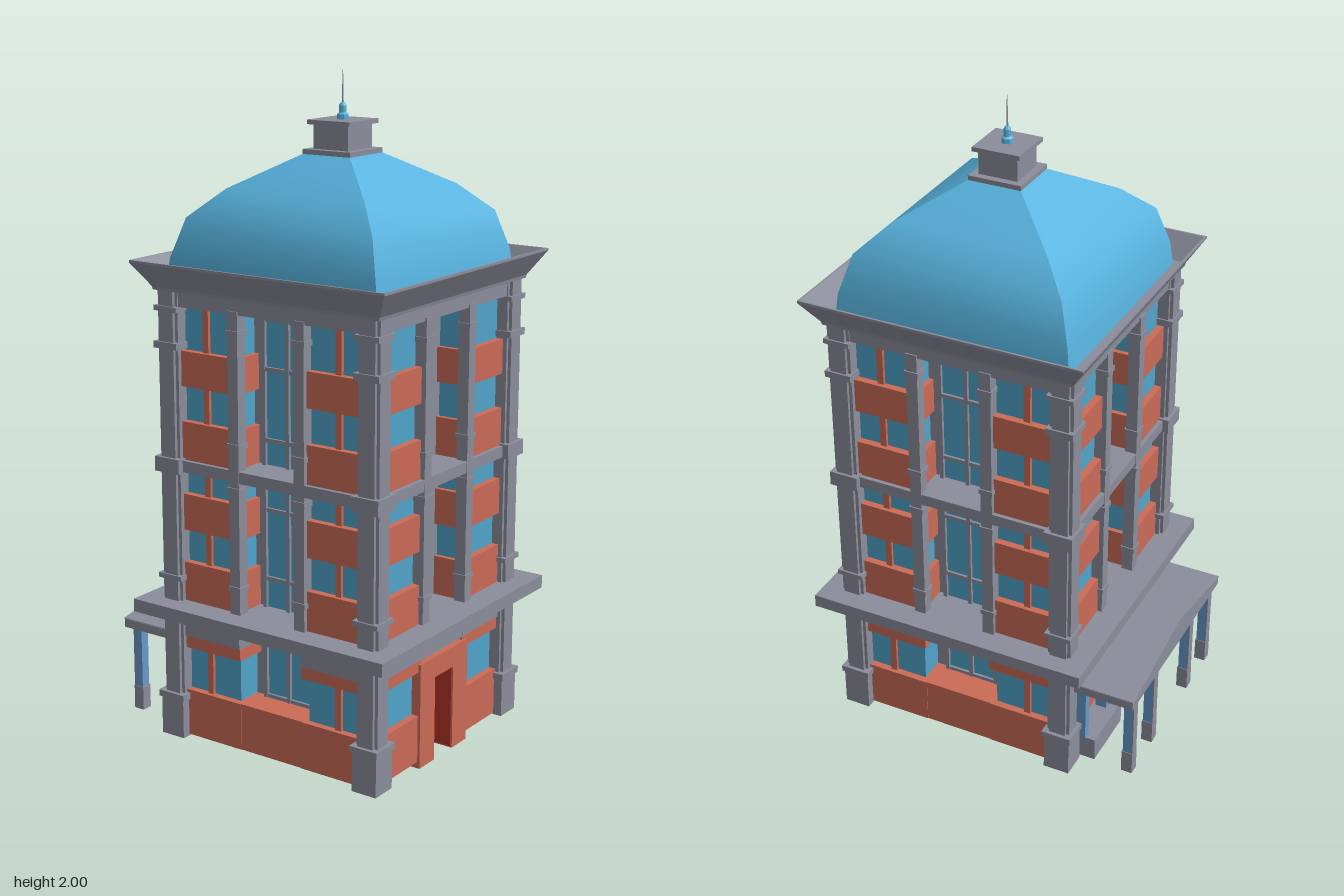
import * as THREE from 'three';
import { toCreasedNormals } from 'three/addons/utils/BufferGeometryUtils.js';

const mat = (name, color) => new THREE.MeshStandardMaterial({ name, color });

export function createModel() {
  const stone = mat('stone', 0x8b8d9b), brick = mat('brick', 0xcb6b57), glass = mat('glass', 0x51a5cb);
  const dome = mat('roof blue', 0x57b3de), red = mat('door red', 0xb03426), steel = mat('post blue', 0x6799cc);
  const root = new THREE.Group();
  const tower = new THREE.Group();
  tower.name = 'tower';
  tower.position.set(0.0625, 0, -0.003);
  root.add(tower);

  const add = (parent, name, geo, m) => {
    const mesh = new THREE.Mesh(geo, m);
    mesh.name = name;
    parent.add(mesh);
    return mesh;
  };
  // box given by its limits on each axis
  const box = (parent, name, m, x0, x1, y0, y1, z0, z1) => {
    const mesh = add(parent, name, new THREE.BoxGeometry(x1 - x0, y1 - y0, z1 - z0), m);
    mesh.position.set((x0 + x1) / 2, (y0 + y1) / 2, (z0 + z1) / 2);
    return mesh;
  };
  const slab = (name, m, h, y0, y1) => box(tower, name, m, -h, h, y0, y1, -h, h);
  // four-sided loft from a profile of [half width, height]
  const squareLoft = (name, m, pts, crease) => {
    const profile = pts.map(([r, y]) => new THREE.Vector2(r * Math.SQRT2, y));
    const geo = new THREE.LatheGeometry(profile, 4, Math.PI / 4);
    return add(tower, name, toCreasedNormals(geo, crease), m);
  };

  // core and floor slabs
  slab('core', stone, 0.26, 0.03, 1.4);
  slab('lowerLedge', stone, 0.445, 0.41, 0.45);
  slab('middleBand', stone, 0.375, 0.85, 0.885);
  slab('entablature', stone, 0.372, 1.34, 1.4);

  // corner bays: glass blocks wrapped with brick bands
  const bands = [[0.02, 0.165], [0.3, 0.338], [0.45, 0.57], [0.67, 0.78], [0.885, 1.0], [1.105, 1.21]];
  const notch = new THREE.Shape();
  const a = 0.036, b = 0.026;
  [[-b, -a], [b, -a], [b, -b], [a, -b], [a, b], [b, b], [b, a], [-b, a], [-b, b], [-a, b], [-a, -b], [-b, -b]]
    .forEach(([x, y], i) => (i ? notch.lineTo(x, y) : notch.moveTo(x, y)));
  const pillarGeo = new THREE.ExtrudeGeometry(notch, { depth: 1.37, bevelEnabled: false });
  pillarGeo.rotateX(-Math.PI / 2);

  for (const sx of [-1, 1]) for (const sz of [-1, 1]) {
    const corner = new THREE.Group();
    corner.name = 'cornerBay';
    tower.add(corner);
    const cbox = (name, m, x0, x1, y0, y1, z0, z1) => box(corner, name, m,
      Math.min(sx * x0, sx * x1), Math.max(sx * x0, sx * x1), y0, y1,
      Math.min(sz * z0, sz * z1), Math.max(sz * z0, sz * z1));
    cbox('bayGlass', glass, 0.125, 0.34, 0.03, 1.36, 0.125, 0.34);
    for (const [y0, y1] of bands) cbox('brickBand', brick, 0.11, 0.362, y0, y1, 0.11, 0.362);
    cbox('frieze', stone, 0.11, 0.366, 0.338, 0.42, 0.11, 0.366);
    cbox('windowMullion', brick, 0.222, 0.242, 0.16, 1.345, 0.33, 0.35);
    // panel under the bay
    cbox('underPanel', glass, 0.15, 0.29, 0.015, 0.022, 0.15, 0.29);

    // corner pillar with plinth and rings
    const p = add(corner, 'cornerPillar', pillarGeo, stone);
    p.position.set(sx * 0.349, 0.02, sz * 0.349);
    for (const [y0, y1, h] of [[0.015, 0.135, 0.041], [0.135, 0.155, 0.047], [0.515, 0.53, 0.042],
      [0.845, 0.89, 0.045], [1.215, 1.235, 0.042], [1.325, 1.34, 0.041]])
      cbox('pillarRing', stone, 0.349 - h, 0.349 + h, y0, y1, 0.349 - h, 0.349 + h);

    // slim piers beside the recesses
    for (const [px, pz] of [[0.115, 0.358], [0.358, 0.115]]) {
      cbox('pier', stone, px - 0.018, px + 0.018, 0.45, 1.35, pz - 0.018, pz + 0.018);
      for (const y of [0.52, 0.82, 0.95, 1.28])
        cbox('pierRing', stone, px - 0.022, px + 0.022, y, y + 0.015, pz - 0.022, pz + 0.022);
    }
  }

  // tall glazed recess, front and back
  for (const s of [1, -1]) {
    const bay = new THREE.Group();
    bay.name = 'glazedRecess';
    bay.rotation.y = s > 0 ? 0 : Math.PI;
    tower.add(bay);
    box(bay, 'tallGlass', glass, -0.085, 0.085, 0.17, 1.32, 0.256, 0.264);
    for (const x of [-0.084, 0, 0.084]) box(bay, 'verticalBar', stone, x - 0.006, x + 0.006, 0.165, 1.32, 0.258, 0.274);
    for (const y of [0.17, 0.33, 0.54, 0.75, 0.96, 1.17, 1.315])
      box(bay, 'crossBar', stone, -0.085, 0.085, y - 0.006, y + 0.006, 0.258, 0.272);
    box(bay, 'recessBase', brick, -0.13, 0.13, 0.02, 0.165, 0.25, 0.36);
    box(bay, 'underPanel', glass, -0.09, 0.09, 0.015, 0.022, 0.28, 0.34);
  }

  // stone recess with four windows, both sides
  for (const s of [1, -1]) {
    const bay = new THREE.Group();
    bay.name = 'sideRecess';
    bay.rotation.y = s * Math.PI / 2;
    tower.add(bay);
    for (const y of [0.485, 0.7, 0.92, 1.14]) {
      box(bay, 'sideWindow', glass, -0.082, 0.082, y, y + 0.152, 0.256, 0.264);
      box(bay, 'windowBar', brick, -0.002, 0.002, y, y + 0.152, 0.26, 0.266);
    }
    box(bay, 'sideFrieze', stone, -0.13, 0.13, 0.335, 0.42, 0.25, 0.364);
    if (s > 0) {
      // door portal
      for (const k of [-1, 1]) {
        box(bay, 'portalJamb', brick, k * 0.09 - 0.04, k * 0.09 + 0.04, 0, 0.325, 0.25, 0.37);
        box(bay, 'doorReveal', red, k * 0.0485 - 0.002, k * 0.0485 + 0.002, 0.005, 0.26, 0.255, 0.366);
      }
      box(bay, 'portalLintel', brick, -0.05, 0.05, 0.262, 0.325, 0.25, 0.37);
      box(bay, 'doorSoffit', red, -0.05, 0.05, 0.257, 0.262, 0.255, 0.366);
    } else {
      // glazed porch wall
      box(bay, 'porchGlass', glass, -0.12, 0.12, 0.03, 0.335, 0.25, 0.335);
      for (const x of [-0.1, -0.05, 0, 0.05, 0.1]) box(bay, 'porchBar', stone, x - 0.005, x + 0.005, 0.03, 0.335, 0.33, 0.342);
    }
  }

  // underside grid
  for (const k of [-1, 1]) {
    box(tower, 'floorBeam', brick, -0.26, 0.26, 0.018, 0.035, k * 0.13 - 0.04, k * 0.13 + 0.04);
    for (const x of [-0.17, 0, 0.17]) box(tower, 'floorPanel', glass, x - 0.05, x + 0.05, 0.022, 0.031, k * 0.045 - 0.03, k * 0.045 + 0.03);
  }

  // flared cornice with a gutter behind it, and the bell-shaped roof
  squareLoft('cornice', stone, [[0.36, 1.385], [0.39, 1.385], [0.392, 1.395], [0.437, 1.465], [0.437, 1.472],
    [0.43, 1.472], [0.382, 1.4], [0, 1.4]], 0.2);
  squareLoft('domeRoof', dome, [[0.363, 1.395], [0.354, 1.475], [0.32, 1.59], [0.238, 1.67], [0.075, 1.768]], 0.6);

  // lantern and finial
  slab('lanternBase', stone, 0.082, 1.762, 1.778);
  slab('lanternBody', stone, 0.06, 1.775, 1.85);
  slab('lanternCap', stone, 0.073, 1.848, 1.861);
  const finial = [[0.017, 1.86], [0.017, 1.875], [0.011, 1.88], [0.011, 1.9], [0.006, 1.908], [0, 1.91]]
    .map(([r, y]) => new THREE.Vector2(r, y));
  add(tower, 'finial', toCreasedNormals(new THREE.LatheGeometry(finial, 8), 0.3), dome);
  add(tower, 'spire', new THREE.CylinderGeometry(0.0008, 0.003, 0.1, 6), stone).position.y = 1.95;

  // gabled porch canopy on posts
  const porch = new THREE.Group();
  porch.name = 'porch';
  root.add(porch);
  box(porch, 'canopyEave', stone, -0.512, -0.29, 0.3, 0.33, -0.347, 0.34);
  const gable = new THREE.Shape();
  gable.moveTo(-0.345, 0.328);
  gable.lineTo(0.345, 0.328);
  gable.lineTo(0, 0.392);
  const gableGeo = new THREE.ExtrudeGeometry(gable, { depth: 0.215, bevelEnabled: false });
  gableGeo.rotateY(Math.PI / 2);
  add(porch, 'canopyGable', gableGeo, stone).position.set(-0.515, 0, -0.003);
  for (const z of [-0.3, -0.145, 0.14, 0.295]) {
    box(porch, 'postShaft', steel, -0.5, -0.472, 0.1, 0.3, z - 0.015, z + 0.015);
    box(porch, 'postFace', stone, -0.504, -0.499, 0.1, 0.3, z - 0.015, z + 0.015);
    box(porch, 'postFoot', stone, -0.504, -0.469, 0.025, 0.1, z - 0.017, z + 0.017);
    box(porch, 'wallPost', steel, -0.346, -0.31, 0.1, 0.3, z - 0.013, z + 0.013);
  }
  for (const k of [-1, 1])
    box(porch, 'porchPlinth', stone, -0.377, -0.29, 0.025, 0.1, k * 0.21 - 0.1, k * 0.21 + 0.1);

  return root;
}
